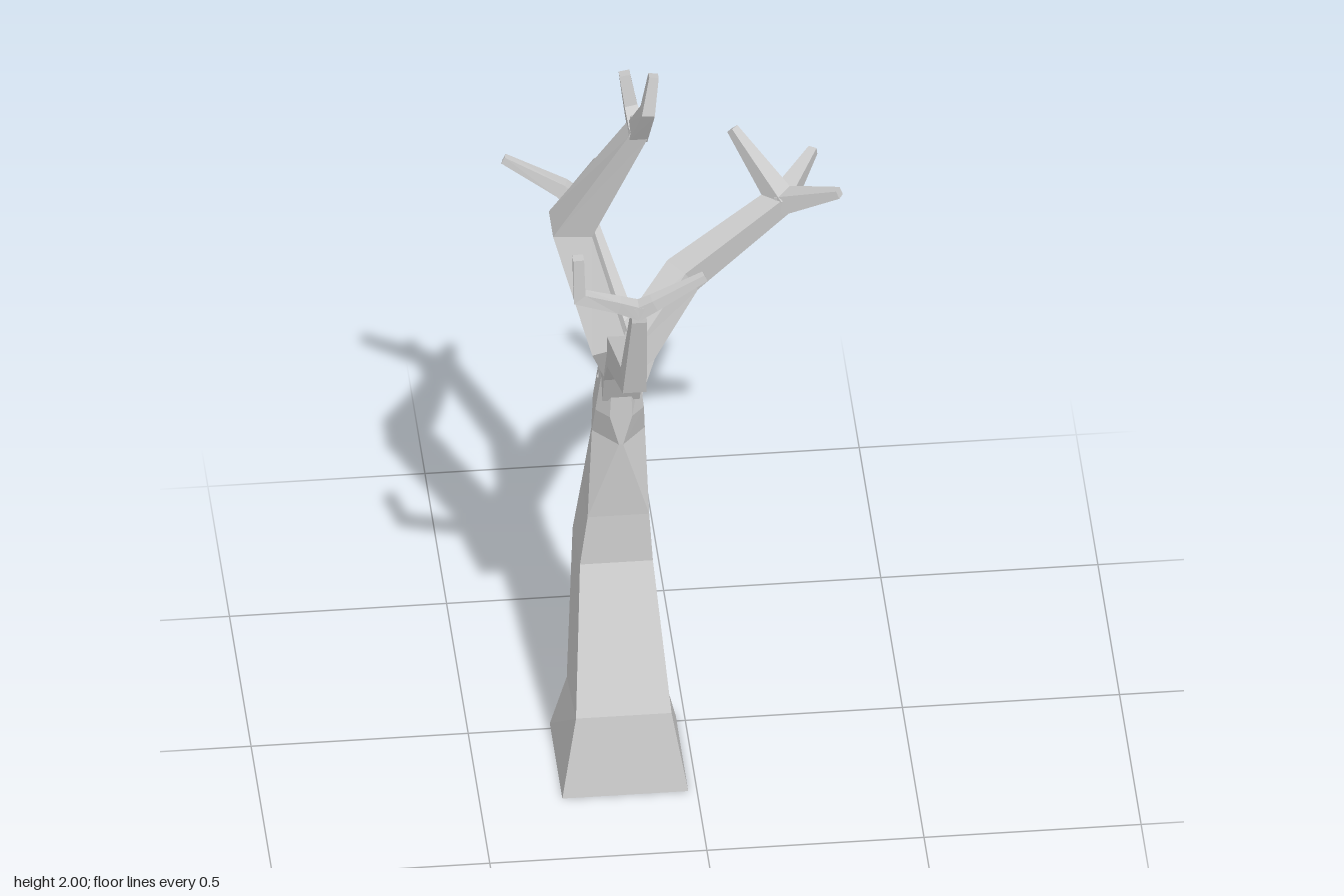
import * as THREE from 'three';

const material = new THREE.MeshStandardMaterial({ color: 0xcccccc, flatShading: true });

// Skin a list of equal-sized rings (counter-clockwise about the growth direction), capped at both ends.
function skin(name, rings) {
  const pos = [];
  const tri = (...pts) => pts.forEach((p) => pos.push(p.x, p.y, p.z));
  const n = rings[0].length;
  for (let k = 0; k < rings.length - 1; k++) {
    for (let i = 0; i < n; i++) {
      const j = (i + 1) % n, lo = rings[k], hi = rings[k + 1];
      tri(lo[i], lo[j], hi[j]);
      tri(lo[i], hi[j], hi[i]);
    }
  }
  const first = rings[0], last = rings[rings.length - 1];
  for (let i = 1; i < n - 1; i++) {
    tri(first[0], first[i + 1], first[i]);
    tri(last[0], last[i], last[i + 1]);
  }
  const geometry = new THREE.BufferGeometry();
  geometry.setAttribute('position', new THREE.Float32BufferAttribute(pos, 3));
  geometry.computeVertexNormals();
  const mesh = new THREE.Mesh(geometry, material);
  mesh.name = name;
  return mesh;
}

// Square-section limb through [x, y, z, width] points; side is the direction its width is laid along.
function limb(name, side, points) {
  const p = points.map(([x, y, z]) => new THREE.Vector3(x, y, z));
  const dirs = p.slice(1).map((q, i) => q.clone().sub(p[i]).normalize());
  const rings = p.map((c, i) => {
    const before = dirs[Math.max(i - 1, 0)], after = dirs[Math.min(i, dirs.length - 1)];
    const t = before.clone().add(after).normalize();
    const u = new THREE.Vector3(...side);
    u.addScaledVector(t, -u.dot(t)).normalize();
    const v = t.clone().cross(u);
    const h = points[i][3] / 2;
    const miter = Math.min(1 / t.dot(after), 1.3);
    return [[1, 1], [-1, 1], [-1, -1], [1, -1]].map(([a, b]) =>
      c.clone().addScaledVector(u, a * h).addScaledVector(v, b * h * miter));
  });
  return skin(name, rings);
}

// Trunk ring: x range, back z/y, front z/y, and how far the corners are cut.
function trunkRing([x0, x1, zb, yb, zf, yf, cut]) {
  const c = [[x1, yf, zf], [x1, yb, zb], [x0, yb, zb], [x0, yf, zf]].map((a) => new THREE.Vector3(...a));
  return c.flatMap((q, i) => [
    q.clone().lerp(c[(i + 3) % 4], cut),
    q.clone().lerp(c[(i + 1) % 4], cut),
  ]);
}

export function createModel() {
  const tree = new THREE.Group();
  tree.name = 'bareTree';
  const X = [1, 0, 0], Z = [0, 0, 1];

  // Trunk: square at the foot, turning to a chamfered section near the fork
  tree.add(skin('trunk', [
    [-0.31, -0.02, -0.02, 0, 0.27, 0, 0],
    [-0.275, -0.055, 0.02, 0.16, 0.235, 0.2, 0],
    [-0.25, -0.082, -0.095, 0.5, 0.075, 0.52, 0],
    [-0.232, -0.09, -0.07, 0.65, 0.07, 0.65, 0],
    [-0.217, -0.095, -0.055, 0.86, 0.08, 0.86, 0.46],
    [-0.212, -0.1, -0.042, 0.94, 0.08, 0.94, 0.27],
    [-0.2, -0.11, -0.04, 1.02, 0.08, 1.03, 0.25],
    [-0.19, -0.12, 0.0, 1.07, 0.075, 1.07, 0.25],
  ].map(trunkRing)));

  // Front branch with its sideways fork
  tree.add(limb('frontBranch', X, [
    [-0.155, 1.0, 0.035, 0.085], [-0.155, 1.1, 0.08, 0.09], [-0.16, 1.19, 0.155, 0.075],
    [-0.16, 1.295, 0.415, 0.055], [-0.155, 1.52, 0.48, 0.035], [-0.155, 1.555, 0.48, 0.03],
  ]));
  tree.add(limb('frontTwigRight', Z, [
    [-0.15, 1.54, 0.48, 0.035], [-0.2, 1.56, 0.48, 0.03], [-0.29, 1.58, 0.468, 0.027], [-0.293, 1.69, 0.465, 0.025],
  ]));
  tree.add(limb('frontTwigLeft', Z, [
    [-0.16, 1.54, 0.48, 0.035], [-0.12, 1.56, 0.48, 0.03], [0, 1.61, 0.457, 0.018],
  ]));

  // Tall branch and its two crown twigs
  tree.add(limb('tallBranch', X, [
    [-0.16, 1.09, 0.08, 0.07], [-0.19, 1.2, 0.125, 0.085], [-0.27, 1.48, 0.055, 0.09],
    [-0.125, 1.8, 0.14, 0.045], [-0.12, 1.83, 0.145, 0.035],
  ]));
  tree.add(limb('crownTwigFront', X, [
    [-0.125, 1.79, 0.135, 0.045], [-0.108, 1.91, 0.215, 0.03], [-0.093, 2.0, 0.2, 0.022],
  ]));
  tree.add(limb('crownTwigBack', X, [
    [-0.125, 1.8, 0.14, 0.04], [-0.135, 1.835, 0.088, 0.03], [-0.148, 1.92, 0.078, 0.025],
  ]));

  // Left branch and its three twigs
  tree.add(limb('leftBranch', [0.5, 0, 0.85], [
    [-0.155, 0.99, 0.03, 0.08], [-0.115, 1.06, -0.02, 0.075], [0.01, 1.155, -0.16, 0.068], [0.25, 1.31, -0.225, 0.05],
  ]));
  [
    ['leftTwigOuter', [0.37, 1.37, -0.15]],
    ['leftTwigBack', [0.33, 1.34, -0.36]],
    ['leftTwigInner', [0.14, 1.445, -0.32]],
  ].forEach(([name, tip]) => tree.add(limb(name, [0, 1, 0], [[0.245, 1.305, -0.22, 0.05], [...tip, 0.02]])));

  // Low back branch and its two twigs
  tree.add(limb('backBranch', X, [
    [-0.15, 0.72, -0.02, 0.1], [-0.147, 0.822, -0.085, 0.085], [-0.135, 0.975, -0.315, 0.062], [-0.2, 1.18, -0.43, 0.045],
  ]));
  tree.add(limb('backTwigUp', X, [
    [-0.2, 1.16, -0.425, 0.045], [-0.195, 1.21, -0.43, 0.04], [-0.16, 1.32, -0.39, 0.02],
  ]));
  tree.add(limb('backTwigOut', Z, [
    [-0.19, 1.165, -0.425, 0.045], [-0.24, 1.21, -0.445, 0.035], [-0.37, 1.27, -0.49, 0.018],
  ]));

  return tree;
}
